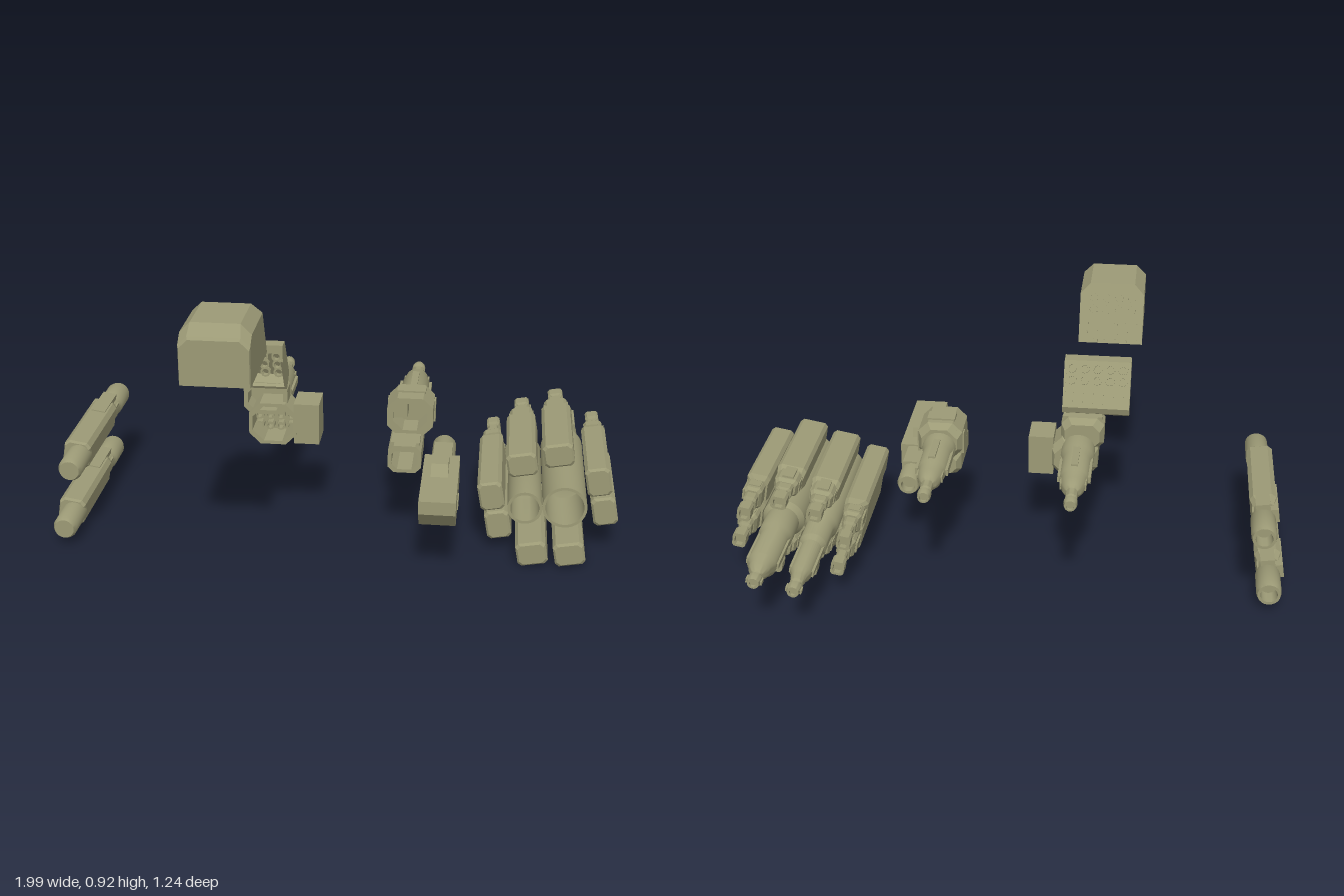
import * as THREE from 'three';
import { toCreasedNormals } from 'three/addons/utils/BufferGeometryUtils.js';

const olive = new THREE.MeshStandardMaterial({ color: 0x9c9a76, side: THREE.DoubleSide });
olive.name = 'olive drab';

function add(parent, name, geo, x = 0, y = 0, z = 0) {
  const m = new THREE.Mesh(geo, olive);
  m.name = name;
  m.position.set(x, y, z);
  parent.add(m);
  return m;
}
function group(parent, name, x = 0, y = 0, z = 0) {
  const g = new THREE.Group();
  g.name = name;
  g.position.set(x, y, z);
  parent.add(g);
  return g;
}
// box given by its extents
function box(parent, name, x0, x1, y0, y1, z0, z1) {
  return add(parent, name, new THREE.BoxGeometry(x1 - x0, y1 - y0, z1 - z0),
    (x0 + x1) / 2, (y0 + y1) / 2, (z0 + z1) / 2);
}
// bevelled rectangle, counter-clockwise seen from +z
function ring(w, h, c, z, x = 0, y = 0) {
  const a = w / 2, b = h / 2;
  return [[a, -b + c], [a, b - c], [a - c, b], [-a + c, b], [-a, b - c], [-a, -b + c], [-a + c, -b], [a - c, -b]]
    .map(([u, v]) => [u + x, v + y, z]);
}
// flat-shaded skin through rings ordered front to back, capped at both ends
function loft(rings) {
  const p = [], n = rings[0].length, tri = (...v) => v.forEach(q => p.push(...q));
  for (let i = 0; i + 1 < rings.length; i++) {
    const a = rings[i], b = rings[i + 1];
    for (let j = 0; j < n; j++) {
      const k = (j + 1) % n;
      tri(a[j], b[j], b[k]);
      tri(a[j], b[k], a[k]);
    }
  }
  const f = rings[0], r = rings[rings.length - 1];
  for (let j = 1; j + 1 < n; j++) {
    tri(f[0], f[j], f[j + 1]);
    tri(r[0], r[j + 1], r[j]);
  }
  const g = new THREE.BufferGeometry();
  g.setAttribute('position', new THREE.Float32BufferAttribute(p, 3));
  g.computeVertexNormals();
  return g;
}
// turned part along z from [radius, z] points, rear to front
function turned(pts, seg = 24) {
  const g = new THREE.LatheGeometry(pts.map(([r, z]) => new THREE.Vector2(r, z)), seg);
  g.rotateX(Math.PI / 2);
  return toCreasedNormals(g, 0.6);
}
// side profile of [z, y] points extruded across x
function slab(pts, x0, x1) {
  const s = new THREE.Shape(pts.map(([z, y]) => new THREE.Vector2(z, y)));
  const g = new THREE.ExtrudeGeometry(s, { depth: x1 - x0, bevelEnabled: false });
  g.rotateY(-Math.PI / 2);
  g.translate(x1, 0, 0);
  return g;
}
// grid of launch tubes on a tilted face, with small studs below
function tubes(parent, x, y, z, tilt, cols, rows, studs) {
  const g = group(parent, 'launchTubes', x, y, z);
  g.rotation.x = tilt;
  for (let r = 0; r < rows; r++) for (let c = 0; c < cols; c++) {
    const u = (c - (cols - 1) / 2) * 0.046, v = 0.06 - r * 0.042;
    add(g, 'tubeRim', turned([[0.011, 0.008], [0.011, -0.012], [0.018, -0.012], [0.018, 0.008]], 10), u, v);
  }
  for (let r = 0; r < studs; r++) for (let c = 0; c < 6; c++)
    add(g, 'stud', new THREE.BoxGeometry(0.014, 0.01, 0.02), (c - 2.5) * 0.036, 0.05 - rows * 0.042 - r * 0.03);
}

// slim cannon with rails and muzzle
function cannon(parent, x, y) {
  const g = group(parent, 'cannon', x, y, 0);
  add(g, 'barrel', turned([[0, -0.37], [0.014, -0.37], [0.014, -0.38], [0.02, -0.38], [0.024, -0.365],
    [0.024, -0.35], [0.016, -0.345], [0.016, -0.335], [0.021, -0.33], [0.021, -0.29], [0.03, -0.28],
    [0.042, -0.25], [0.044, -0.21], [0.05, -0.2], [0.051, -0.08], [0.06, -0.05], [0.06, 0.03], [0, 0.03]]));
  for (const s of [-1, 1]) {
    box(g, 'sideRail', s * 0.05 - 0.008, s * 0.05 + 0.008, -0.012, 0.012, -0.2, -0.02);
    box(g, 'rearFin', s * 0.04 - 0.006, s * 0.04 + 0.006, -0.012, 0.012, -0.25, -0.205);
  }
  box(g, 'topRail', -0.012, 0.012, 0.04, 0.056, -0.19, -0.02);
}

// rocket pod, its outer face toward local +y
function rocketPod(parent, x, y, turn, zf, L) {
  const g = group(parent, 'rocketPod', x, y, zf);
  g.rotation.z = turn;
  const e = -0.65 * L;
  add(g, 'podBody', loft([ring(0.09, 0.07, 0.012, 0), ring(0.104, 0.085, 0.012, -0.008),
    ring(0.104, 0.085, 0.012, e), ring(0.092, 0.06, 0.012, e - 0.03, 0, -0.01)]));
  add(g, 'podCollar', loft([ring(0.082, 0.066, 0.01, e), ring(0.082, 0.066, 0.01, e - 0.075),
    ring(0.07, 0.05, 0.01, e - 0.09)]));
  box(g, 'podCollarPanel', -0.045, 0.045, -0.02, 0.02, e - 0.065, e - 0.02);
  box(g, 'podSpine', -0.02, 0.02, 0.005, 0.04, e - 0.07, e + 0.01);
  add(g, 'podTail', loft([ring(0.056, 0.046, 0.008, e - 0.08), ring(0.056, 0.046, 0.008, e - 0.12),
    ring(0.036, 0.034, 0.006, e - 0.125), ring(0.036, 0.034, 0.006, -L + 0.05),
    ring(0.054, 0.048, 0.008, -L + 0.045), ring(0.054, 0.048, 0.008, -L),
    ring(0.036, 0.032, 0.006, -L), ring(0.036, 0.032, 0.006, -L + 0.02)]));
}

// two large guns ringed by eight pods
function podCluster(root) {
  const g = group(root, 'podCluster', 0.745, 0.2, 0);
  g.rotation.z = 0.183;
  const H = Math.PI / 2;
  for (const [x, y, turn, zf, L] of [
    [-0.185, 0.057, H, 0.27, 0.63], [-0.178, -0.054, H, 0.27, 0.63],
    [-0.067, 0.132, 0, 0.207, 0.55], [0.062, 0.151, 0, 0.207, 0.55],
    [0.185, 0.053, -H, 0.25, 0.56], [0.191, -0.06, -H, 0.25, 0.56],
    [0.055, -0.146, 2 * H, 0.37, 0.665], [-0.071, -0.128, 2 * H, 0.37, 0.665]]) rocketPod(g, x, y, turn, zf, L);
  for (const [x, R, a, b, zf] of [[-0.076, 0.06, 0.05, 0.037, 0.27], [0.061, 0.076, 0.06, 0.051, 0.3]]) {
    add(g, 'heavyGun', turned([[0, -0.615], [0.012, -0.615], [0.012, -0.625], [0.02, -0.625], [0.024, -0.61],
      [0.024, -0.59], [0.015, -0.585], [0.017, -0.575], [0.022, -0.57], [b * 0.72, -0.545], [b * 0.76, -0.53],
      [b, -0.51], [b, -0.35], [a, -0.33], [a, -0.22], [R, -0.2], [R, zf], [R - 0.01, zf], [R - 0.012, 0.1], [0, 0.08]], 32), x);
    for (const s of [-1, 1]) {
      box(g, 'gunRail', x + s * b - 0.006, x + s * b + 0.006, -0.012, 0.012, -0.5, -0.3);
      box(g, 'muzzleLug', x + s * 0.022 - 0.006, x + s * 0.022 + 0.006, -0.008, 0.008, -0.615, -0.59);
    }
  }
}

// tilted side pod with round nose and hollow tail
function sidePod(root, x, y) {
  const g = group(root, 'sidePod', x, y, 0);
  g.rotation.z = -0.16;
  add(g, 'sidePodBody', loft([ring(0.084, 0.09, 0.015, 0.275), ring(0.094, 0.1, 0.015, 0.265),
    ring(0.094, 0.1, 0.015, -0.09), ring(0.07, 0.08, 0.015, -0.13)]));
  add(g, 'nose', turned([[0.036, 0.25], [0.042, 0.255], [0.042, 0.385], [0.034, 0.4], [0, 0.4]]), 0.01);
  add(g, 'tail', turned([[0, -0.25], [0.028, -0.25], [0.03, -0.305], [0.04, -0.305], [0.044, -0.29],
    [0.044, -0.18], [0.038, -0.17], [0.038, -0.1]]), 0.005);
  box(g, 'topPanel', -0.025, 0.025, 0.02, 0.054, -0.17, 0);
  box(g, 'sidePanel', -0.052, 0.04, -0.025, 0.025, -0.16, 0.02);
}

export function createModel() {
  const root = new THREE.Group();
  root.name = 'weaponSet';

  podCluster(root);
  sidePod(root, -0.906, 0.307);
  sidePod(root, -0.94, 0.08);

  // bevelled launcher hood with a sloping back
  const slope = pts => pts.map(([x, y]) => [x, y, 0.297 + (y - 0.735) * 0.42]);
  const hood = (w, top, c, z) => {
    const a = w / 2;
    return [[a, 0.735], [a, top - c], [a - c, top], [-a + c, top], [-a, top - c], [-a, 0.735]].map(([x, y]) => [x - 0.33, y, z]);
  };
  add(root, 'launcherHood', loft([hood(0.226, 0.89, 0.03, 0.618), hood(0.232, 0.9, 0.03, 0.61),
    hood(0.232, 0.935, 0.035, 0.575), slope(hood(0.232, 0.935, 0.035, 0))]));
  tubes(root, -0.33, 0.83, 0.337, 0.397, 4, 2, 3);

  // slanted launcher box, open toward the front
  const X0 = -0.415, X1 = -0.175;
  const side = [[0.207, 0.665], [0.207, 0.725], [0.16, 0.725], [0.142, 0.7], [0.07, 0.58], [0.078, 0.556], [0.122, 0.53]];
  const shell = group(root, 'launcherBox');
  for (const x of [X0, X1 - 0.008]) add(shell, 'launcherSide', slab(side, x, x + 0.008));
  add(shell, 'launcherBack', slab([[0.207, 0.695], [0.207, 0.725], [0.16, 0.725], [0.07, 0.58], [0.078, 0.556],
    [0.122, 0.53], [0.128, 0.54], [0.095, 0.575], [0.165, 0.695]], X0, X1));
  tubes(shell, -0.295, 0.648, 0.118, 0.54, 5, 2, 2);
  for (let r = 0; r < 3; r++) for (let c = 0; c < 5; c++)
    add(shell, 'tubeMouth', turned([[0.012, 0], [0.012, 0.02], [0.018, 0.02], [0.018, 0]], 10),
      -0.387 + c * 0.046, 0.594 + r * 0.038, 0.108 + r * 0.022);

  // right mount: open cradle, bracket and cannon
  const cradle = group(root, 'rightMount');
  const cup = (w, h, c, x, y, z0, z1, wall) => loft([ring(w - wall, h - wall, c, z0 + 0.03, x, y),
    ring(w - wall, h - wall, c, z1, x, y), ring(w, h, c, z1, x, y), ring(w, h, c, z0 + 0.03, x, y),
    ring(w - 0.03, h - 0.03, c, z0, x, y)]);
  add(cradle, 'cradle', cup(0.17, 0.155, 0.04, -0.225, 0.402, 0, 0.14, 0.025));
  box(cradle, 'cradleBlock', -0.15, -0.06, 0.33, 0.48, 0.02, 0.138);
  add(cradle, 'bracket', cup(0.155, 0.12, 0.025, -0.252, 0.49, 0.02, 0.12, 0.03));
  box(cradle, 'bracketStep', -0.32, -0.18, 0.52, 0.55, 0.06, 0.11);
  for (let r = 0; r < 2; r++) for (let c = 0; c < 4; c++)
    add(cradle, 'cradleTube', turned([[0.01, 0], [0.01, 0.03], [0.016, 0.03], [0.016, 0]], 10),
      -0.285 + c * 0.038, 0.36 + r * 0.04, 0.03);
  cannon(cradle, -0.24, 0.437);

  // left mount: bevelled ring housing, open snout and cannon
  const mount = group(root, 'leftMount');
  add(mount, 'housing', cup(0.16, 0.14, 0.035, 0.26, 0.452, -0.02, 0.14, 0.04));
  box(mount, 'housingLatch', 0.2, 0.25, 0.44, 0.5, 0, 0.12);
  box(mount, 'housingCap', 0.21, 0.31, 0.505, 0.528, 0.03, 0.085);
  box(mount, 'collar', 0.175, 0.345, 0.4, 0.48, 0.015, 0.05);
  add(mount, 'snout', cup(0.115, 0.1, 0.02, 0.25, 0.34, 0.03, 0.25, 0.025));
  box(mount, 'snoutLip', 0.2, 0.3, 0.355, 0.39, 0.12, 0.22);
  cannon(mount, 0.26, 0.437);

  // single gun box with sight, vents and rear tube
  const gun = group(root, 'gunBox');
  add(gun, 'gunBody', slab([[0.547, 0.285], [0.547, 0.332], [0.18, 0.332], [0.18, 0.222], [0.495, 0.222]], 0.317, 0.44));
  add(gun, 'sight', slab([[0.36, 0.33], [0.33, 0.368], [0.25, 0.368], [0.24, 0.33]], 0.347, 0.405));
  add(gun, 'rearTube', turned([[0, 0], [0.026, 0], [0.026, -0.03], [0.036, -0.03], [0.042, -0.015], [0.042, 0.19]]), 0.378, 0.278);
  box(gun, 'tubeSaddle', 0.345, 0.411, 0.29, 0.326, 0.06, 0.18);
  for (const x of [0.317, 0.44]) for (let i = 0; i < 3; i++)
    box(gun, 'vent', x - 0.004, x + 0.004, 0.24, 0.27, 0.345 + i * 0.026, 0.363 + i * 0.026);

  return root;
}
